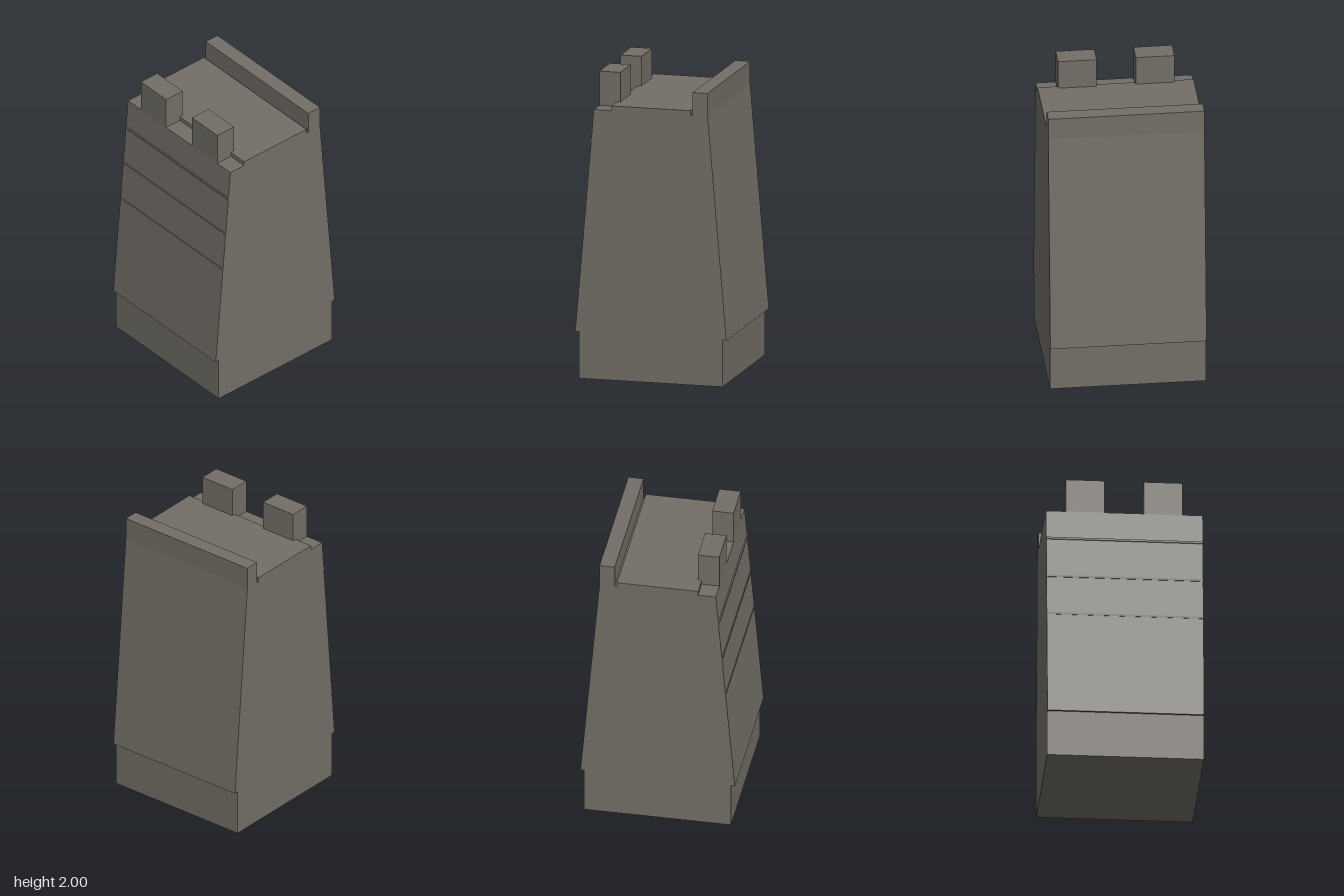
import * as THREE from 'three';

const WIDTH = 1.01;

export function createModel() {
  const group = new THREE.Group();
  group.name = 'wallSection';
  const stone = new THREE.MeshStandardMaterial({ color: 0x736f67 });
  stone.name = 'grey stone';

  const add = (name, geometry, x = 0, y = 0, z = 0) => {
    const mesh = new THREE.Mesh(geometry, stone);
    mesh.name = name;
    mesh.position.set(x, y, z);
    group.add(mesh);
  };
  // box given by its limits on each axis
  const block = (name, x0, x1, y0, y1, z0, z1) =>
    add(name, new THREE.BoxGeometry(x1 - x0, y1 - y0, z1 - z0),
      (x0 + x1) / 2, (y0 + y1) / 2, (z0 + z1) / 2);
  // side profile of [z, y] points, extruded across the full width
  const extrudeAcross = (name, points) => {
    const shape = new THREE.Shape(points.map(([z, y]) => new THREE.Vector2(-z, y)));
    const geometry = new THREE.ExtrudeGeometry(shape, { depth: WIDTH, bevelEnabled: false });
    geometry.translate(0, 0, -WIDTH / 2).rotateY(Math.PI / 2);
    add(name, geometry);
  };

  // tapered wall with a plinth, raised walkway and rear parapet
  extrudeAcross('wallBody', [
    [0.48, 0], [0.48, 0.31], [0.505, 0.305], [0.38, 1.775],
    [0.265, 1.775], [0.265, 1.805], [-0.265, 1.805], [-0.265, 1.775],
    [-0.28, 1.775], [-0.28, 1.925], [-0.38, 1.925], [-0.38, 1.775],
    [-0.505, 0.305], [-0.48, 0.31], [-0.48, 0],
  ]);

  // thin string courses along the sloping front
  for (const [y, out] of [[1.573, 0.008], [1.295, 0.005], [1.02, 0.003]]) {
    const z = 0.505 - (y - 0.305) * 0.125 / 1.47;
    extrudeAcross('stringCourse', [
      [z - 0.02, y - 0.007], [z + out, y - 0.007], [z + out, y + 0.007], [z - 0.02, y + 0.007],
    ]);
  }

  // two front merlons
  for (const x of [-0.253, 0.25]) block('merlon', x - 0.125, x + 0.125, 1.77, 2, 0.24, 0.38);

  return group;
}
